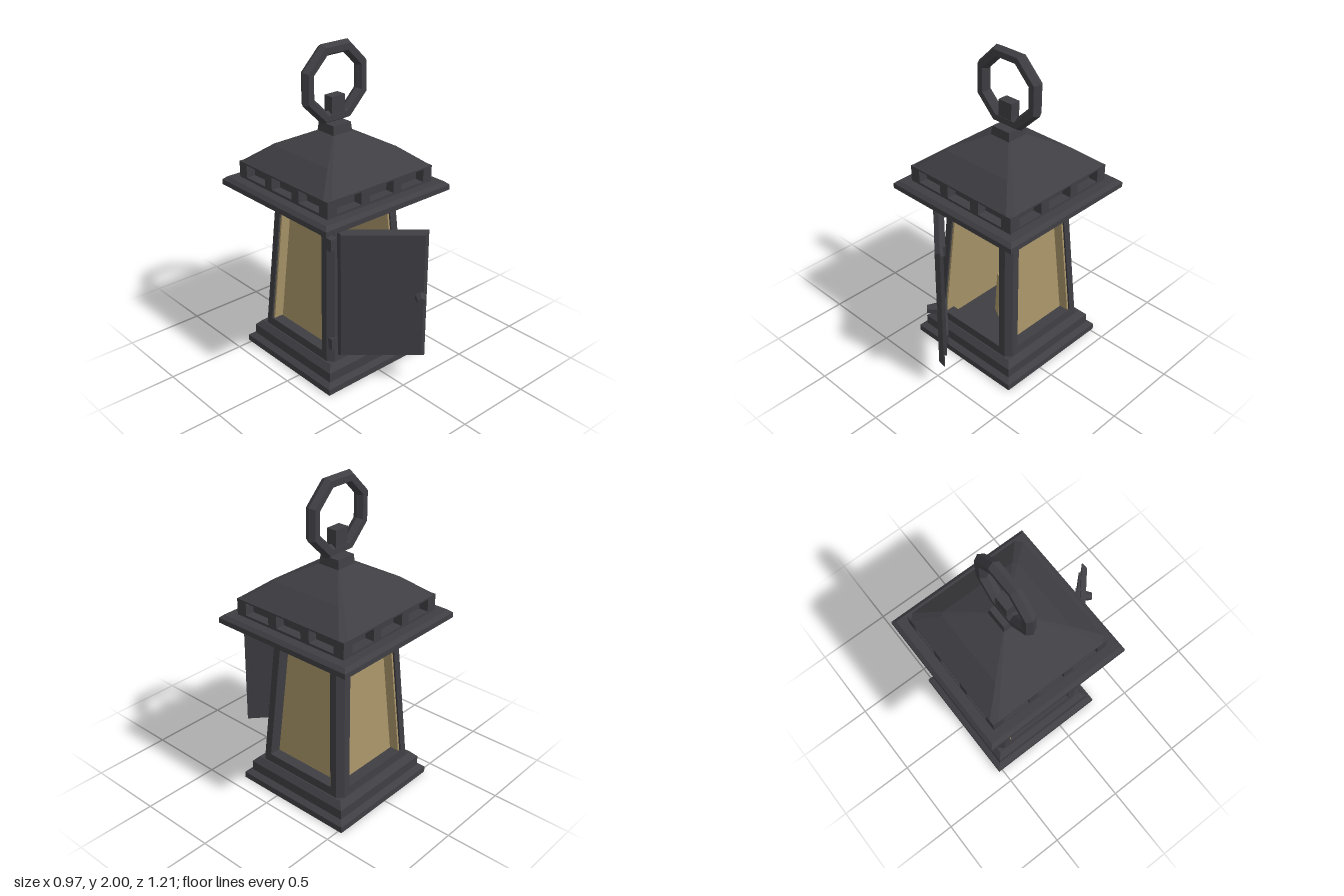
import * as THREE from 'three';

const metal = new THREE.MeshStandardMaterial({ color: 0x3f3e43 });
metal.name = 'dark metal';
const amber = new THREE.MeshStandardMaterial({ color: 0xa89468 });
amber.name = 'amber';

// Solid through stacked convex sections: [[y, [[x, z], ...]], ...]
function loft(sections) {
  const rings = sections.map(([y, pts]) => pts.map(([x, z]) => [x, y, z]));
  const n = rings[0].length, pos = [];
  const tri = (a, b, c) => pos.push(...a, ...b, ...c);
  for (let k = 0; k < rings.length - 1; k++) {
    const a = rings[k], b = rings[k + 1];
    for (let i = 0; i < n; i++) {
      const j = (i + 1) % n;
      tri(a[i], a[j], b[j]);
      tri(a[i], b[j], b[i]);
    }
  }
  const lo = rings[0], hi = rings[rings.length - 1];
  for (let i = 1; i < n - 1; i++) {
    tri(lo[0], lo[i + 1], lo[i]);
    tri(hi[0], hi[i], hi[i + 1]);
  }
  const g = new THREE.BufferGeometry();
  g.setAttribute('position', new THREE.Float32BufferAttribute(pos, 3));
  g.computeVertexNormals();
  return g;
}

const rect = (w, d) => [[w, d], [w, -d], [-w, -d], [-w, d]];
// Square with cut corners
const cutSquare = (h, c) => [[h - c, h], [h, h - c], [h, c - h], [h - c, -h],
  [c - h, -h], [-h, c - h], [-h, h - c], [c - h, h]];
// Square stepped solid from [half width, y] pairs
const stack = (profile) => loft(profile.map(([h, y]) => [y, rect(h, h)]));

function add(parent, name, geo, mat, x = 0, y = 0, z = 0) {
  const m = new THREE.Mesh(geo, mat);
  m.name = name;
  m.position.set(x, y, z);
  parent.add(m);
  return m;
}
const box = (parent, name, w, h, d, x, y, z) =>
  add(parent, name, new THREE.BoxGeometry(w, h, d), metal, x, y, z);

// Tapering body: outer half width and opening half width at height y
const half = (y) => 0.33 - 0.06 * (y - 0.155) / 0.905;
const open = (y) => 0.247 - 0.055 * (y - 0.21) / 0.8;
const wall = (y0, y1, section) => loft([y0, y1].map((y) => [y, section(half(y), open(y))]));

export function createModel() {
  const model = new THREE.Group();
  model.name = 'lantern';
  const body = new THREE.Group();
  body.name = 'body';
  body.position.z = -0.12;
  model.add(body);

  // Stepped base
  add(body, 'base', stack([[0.405, 0], [0.405, 0.04], [0.37, 0.06], [0.37, 0.122], [0.337, 0.157]]), metal);

  // Eaves, roof with narrow hip facets, and neck
  add(body, 'eaves', stack([[0.27, 1.06], [0.455, 1.1], [0.483, 1.11], [0.483, 1.142], [0.46, 1.162]]), metal);
  add(body, 'roof', loft([[1.265, cutSquare(0.405, 0.035)], [1.375, cutSquare(0.265, 0.02)],
    [1.475, cutSquare(0.065, 0.005)]]), metal);
  add(body, 'neck', stack([[0.072, 1.47], [0.066, 1.527]]), metal);
  add(body, 'ventCore', stack([[0.345, 1.16], [0.345, 1.264]]), metal);

  // Vent band side with three openings
  const vent = new THREE.Shape();
  vent.moveTo(-0.405, 1.16).lineTo(0.405, 1.16).lineTo(0.405, 1.265).lineTo(-0.405, 1.265).closePath();
  for (const [a, b] of [[-0.335, -0.155], [-0.092, 0.092], [0.155, 0.335]]) {
    const hole = new THREE.Path();
    hole.moveTo(a, 1.177).lineTo(a, 1.255).lineTo(b, 1.255).lineTo(b, 1.177).closePath();
    vent.holes.push(hole);
  }
  const ventGeo = new THREE.ExtrudeGeometry(vent, { depth: 0.062, bevelEnabled: false });

  // Four sides: corner posts, rails, vents and glass (front stays open)
  for (let i = 0; i < 4; i++) {
    const side = new THREE.Group();
    side.name = ['front', 'left', 'back', 'right'][i] + 'Side';
    side.rotation.y = i * Math.PI / 2;
    body.add(side);
    add(side, 'cornerPost', wall(0.15, 1.075, (h, w) =>
      [[h, h - 0.035], [h, w], [w, w], [w, h], [h - 0.035, h]]), metal);
    const bar = (h, w) => [[w, h], [w, h - 0.07], [-w, h - 0.07], [-w, h]];
    add(side, 'bottomRail', wall(0.15, 0.21, bar), metal);
    add(side, 'topRail', wall(1.01, 1.075, bar), metal);
    add(side, 'ventBand', ventGeo, metal, 0, 0, 0.343);
    if (i === 0) continue;
    // Panes sit behind the posts and cross at the corners
    add(side, 'glass', wall(0.158, 1.062, (h) => [[h - 0.012, h - 0.075], [h - 0.012, h - 0.093],
      [0.012 - h, h - 0.093], [0.012 - h, h - 0.075]]), amber);
  }

  // Candle and flame
  const flat = (g) => {
    const f = g.toNonIndexed();
    f.computeVertexNormals();
    return f;
  };
  add(body, 'candle', flat(new THREE.CylinderGeometry(0.065, 0.08, 0.3, 6)), amber, 0, 0.305, 0);
  add(body, 'flame', flat(new THREE.ConeGeometry(0.055, 0.36, 6)), amber, 0, 0.635, 0);

  // Carrying ring and its clasp
  box(body, 'clasp', 0.1, 0.105, 0.066, 0, 1.638, 0);
  const ring = flat(new THREE.TorusGeometry(0.2145, 0.04, 6, 8));
  ring.rotateZ(Math.PI / 8);
  add(body, 'ring', ring, metal, 0, 1.765, 0);

  // Open door, hinged on the front post
  const door = new THREE.Group();
  door.name = 'door';
  door.position.set(-0.265, 0, 0.322);
  door.rotation.y = -0.725;
  body.add(door);
  const slab = loft([[0, rect(0.26, 0.42)], [0.006, rect(0.26, 0.42)], [0.034, rect(0.24, 0.4)]]);
  slab.rotateX(Math.PI / 2);
  add(door, 'doorSlab', slab, metal, 0.26, 0.61, 0);
  box(door, 'doorInnerPanel', 0.455, 0.74, 0.016, 0.253, 0.61, -0.007);
  const knob = flat(new THREE.CylinderGeometry(0.024, 0.036, 0.06, 6));
  knob.rotateX(Math.PI / 2);
  add(door, 'knob', knob, metal, 0.482, 0.61, 0.062);

  // Hinge blocks and straps
  for (const y of [0.28, 0.94]) {
    box(door, 'hingeStrap', 0.36, 0.065, 0.016, 0.2, y, -0.02);
    box(body, 'hinge', 0.05, 0.075, 0.07, -0.29, y, 0.292);
  }
  return model;
}
